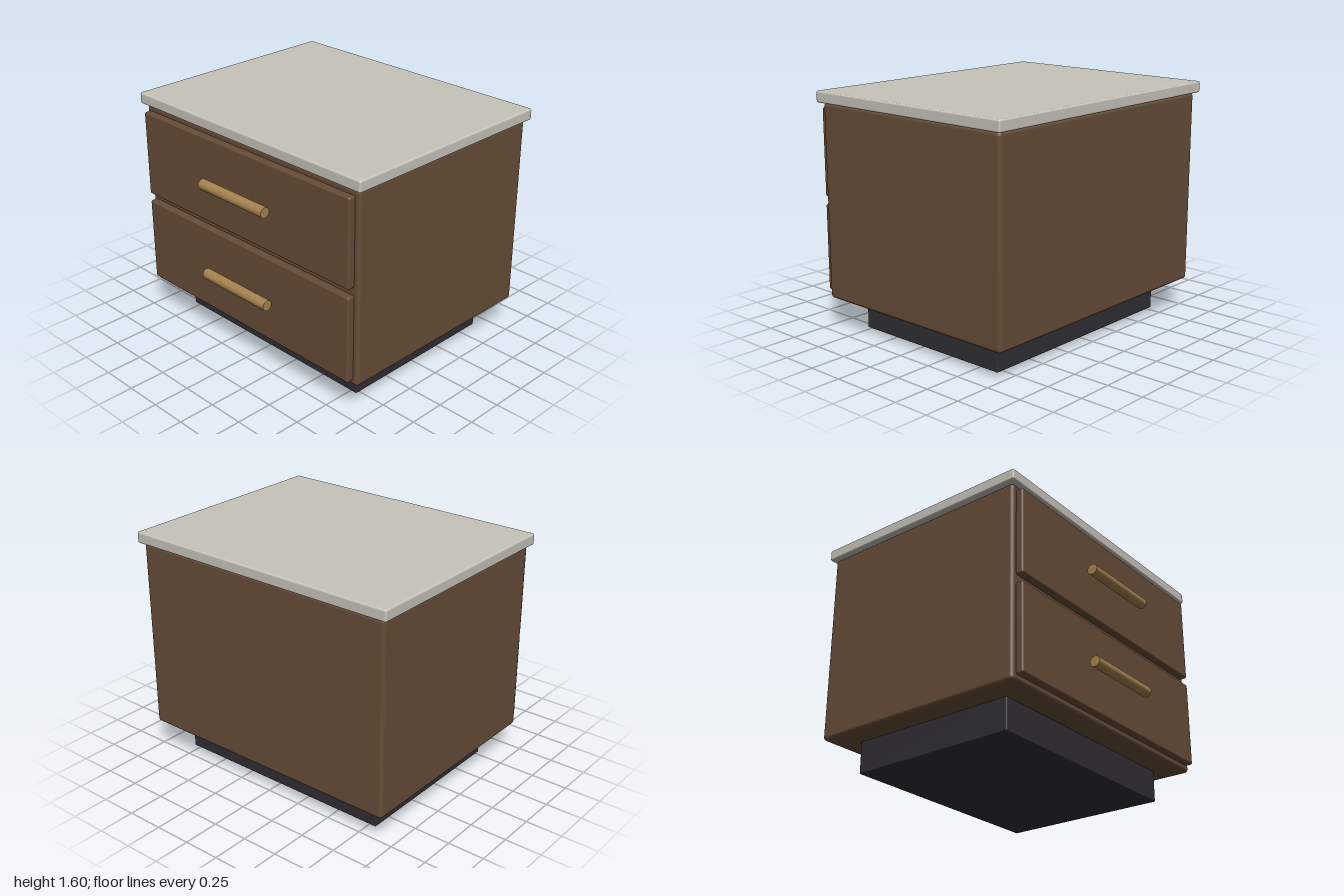
import * as THREE from 'three';
import { RoundedBoxGeometry } from 'three/addons/geometries/RoundedBoxGeometry.js';

const mat = (color) => new THREE.MeshStandardMaterial({ color });

export function createModel() {
  const group = new THREE.Group();
  const wood = mat(0x664d38);
  const brass = mat(0xa6834f);
  const dark = mat(0x302e33);
  const stone = mat(0xc7c4ba);

  // Rounded block, centred on x, given by half width and y/z ranges
  function block(name, halfX, [y0, y1], [z0, z1], radius, material) {
    const geometry = new RoundedBoxGeometry(halfX * 2, y1 - y0, z1 - z0, 4, radius);
    const mesh = new THREE.Mesh(geometry, material);
    mesh.name = name;
    mesh.position.set(0, (y0 + y1) / 2, (z0 + z1) / 2);
    group.add(mesh);
  }

  block('plinth', 0.8, [0, 0.22], [-0.645, 0.532], 0.008, dark);
  block('cabinetBody', 0.97, [0.213, 1.524], [-0.82, 0.706], 0.025, wood);
  block('topSlab', 1, [1.524, 1.6], [-0.847, 0.735], 0.012, stone);

  // Two drawers, each with a horizontal bar handle
  const drawers = [
    { name: 'lower', y: [0.252, 0.843], handleY: 0.547 },
    { name: 'upper', y: [0.894, 1.484], handleY: 1.19 },
  ];
  for (const { name, y, handleY } of drawers) {
    block(name + 'DrawerFront', 0.938, y, [0.7, 0.757], 0.014, wood);
    const handle = new THREE.Mesh(new THREE.CylinderGeometry(0.036, 0.036, 0.586, 24), brass);
    handle.name = name + 'DrawerHandle';
    handle.rotation.z = Math.PI / 2;
    handle.position.set(0, handleY, 0.811);
    group.add(handle);
  }

  return group;
}
